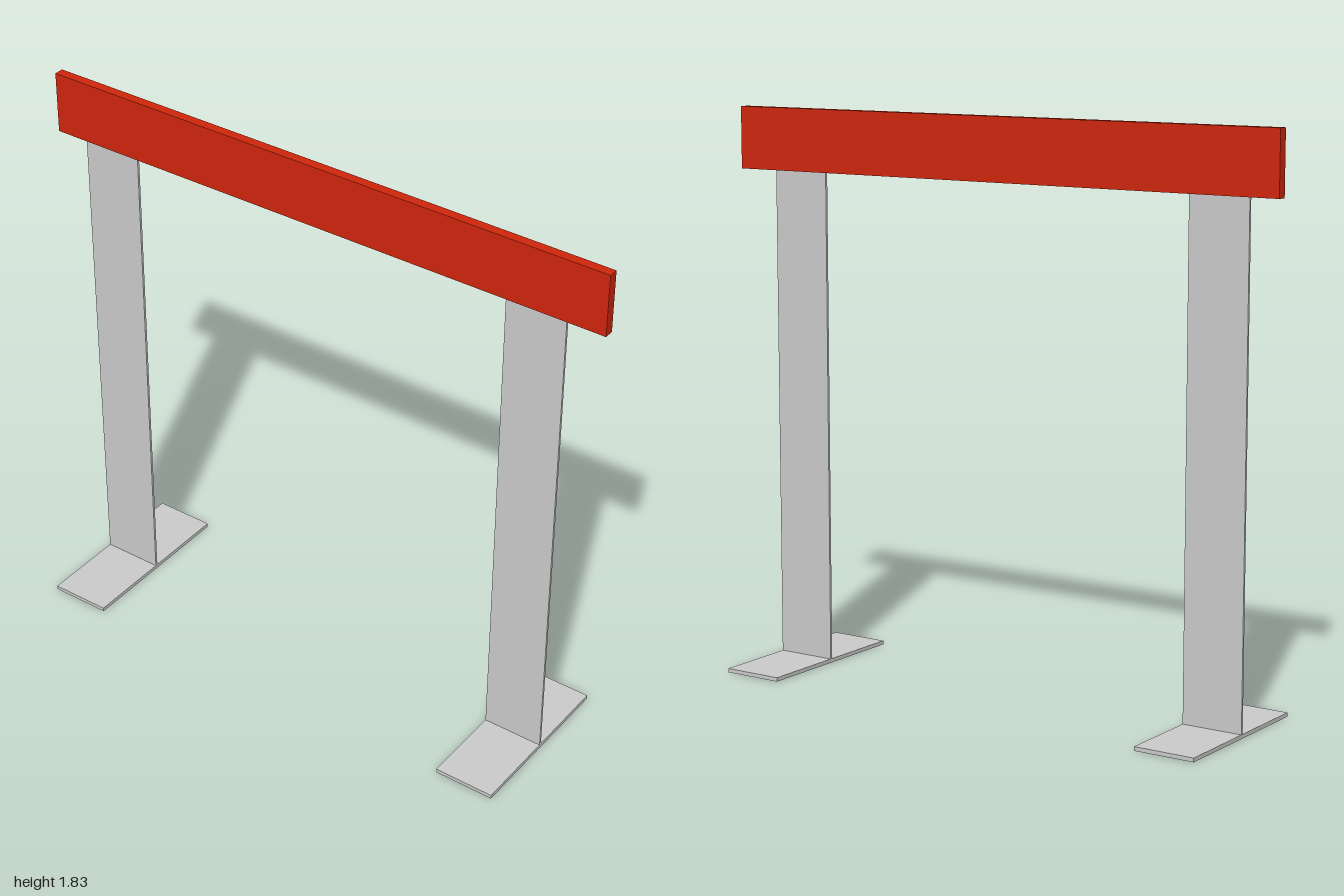
import * as THREE from 'three';

export function createModel() {
  const group = new THREE.Group();
  const grey = new THREE.MeshStandardMaterial({ color: 0xcccccc });
  const red = new THREE.MeshStandardMaterial({ color: 0xd0260c });

  // Box standing on height y
  function box(name, parent, material, w, h, d, y) {
    const mesh = new THREE.Mesh(new THREE.BoxGeometry(w, h, d), material);
    mesh.name = name;
    mesh.position.y = y + h / 2;
    parent.add(mesh);
  }

  const beamBottom = 1.63, footHeight = 0.013, width = 0.204;

  // Crossbar
  box('crossbar', group, red, 2, 0.204, 0.032, beamBottom);

  // Two supports, each a thin upright plate on a flat foot
  for (const [name, x] of [['rightSupport', -0.795], ['leftSupport', 0.763]]) {
    const support = new THREE.Group();
    support.name = name;
    support.position.x = x;
    box('foot', support, grey, width, footHeight, 0.576, 0);
    box('upright', support, grey, width, beamBottom - footHeight, 0.008, footHeight);
    group.add(support);
  }
  return group;
}
